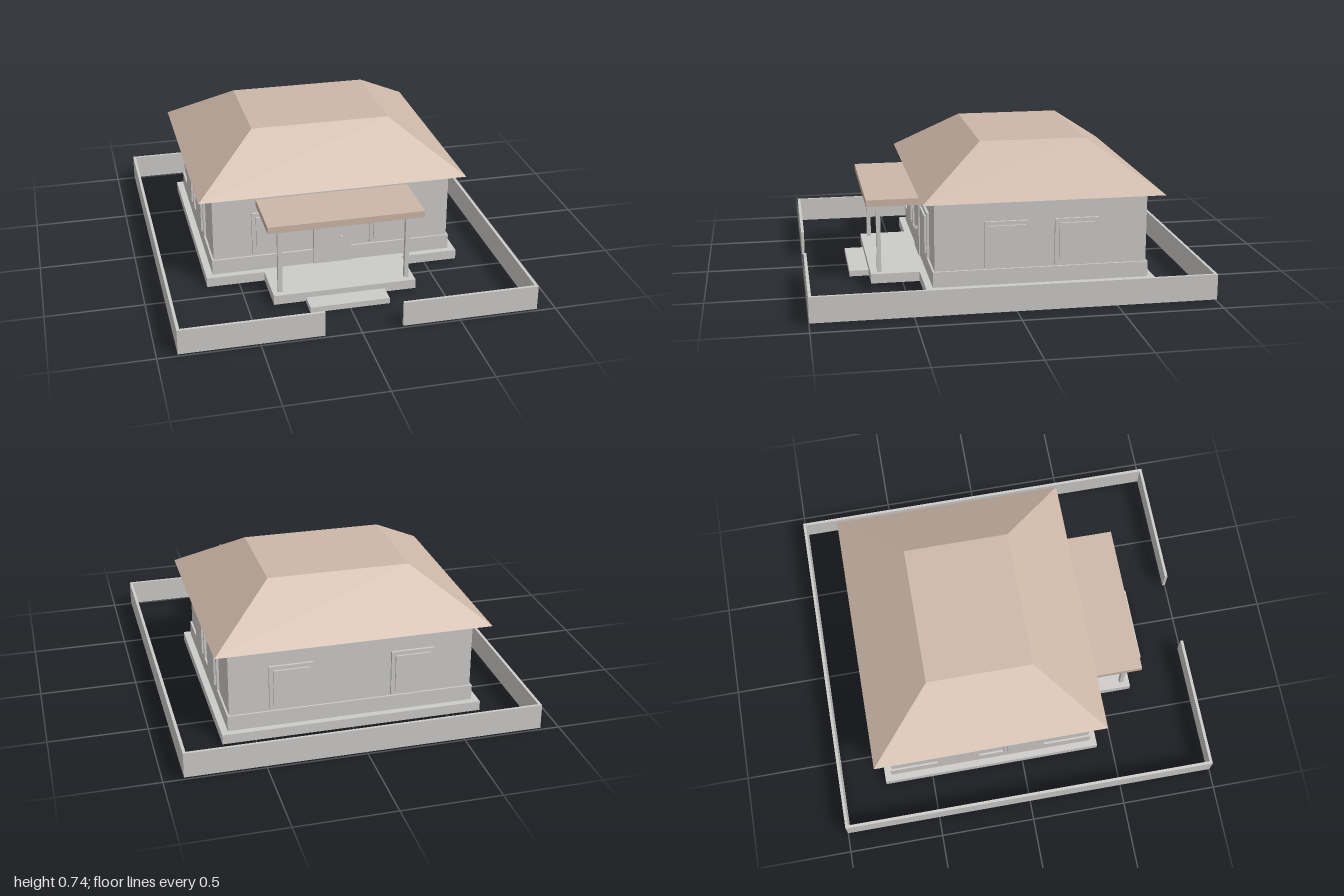
import * as THREE from 'three';

const stone = new THREE.MeshStandardMaterial({ color: 0xcccbc9 });
stone.name = 'pale grey';
const tile = new THREE.MeshStandardMaterial({ color: 0xcdb7a8, side: THREE.DoubleSide });
tile.name = 'clay beige';

// Box given by its min and max corners
function block(parent, name, x0, x1, y0, y1, z0, z1, material = stone) {
  const mesh = new THREE.Mesh(new THREE.BoxGeometry(x1 - x0, y1 - y0, z1 - z0), material);
  mesh.position.set((x0 + x1) / 2, (y0 + y1) / 2, (z0 + z1) / 2);
  mesh.name = name;
  parent.add(mesh);
  return mesh;
}

// Hipped roof: four slopes and a flat top, open below
function hippedRoof() {
  const ring = (x, y, z0, z1) => [[-x, y, z1], [x, y, z1], [x, y, z0], [-x, y, z0]];
  const eave = ring(0.7, 0.5, -0.785, 0.435);
  const top = ring(0.365, 0.735, -0.45, 0.1);
  const points = [];
  const quad = (a, b, c, d) => points.push(...a, ...b, ...c, ...a, ...c, ...d);
  for (let i = 0; i < 4; i++) {
    const j = (i + 1) % 4;
    quad(eave[i], eave[j], top[j], top[i]);
  }
  quad(...top);
  const geometry = new THREE.BufferGeometry();
  geometry.setAttribute('position', new THREE.Float32BufferAttribute(points, 3));
  geometry.computeVertexNormals();
  const mesh = new THREE.Mesh(geometry, tile);
  mesh.name = 'hippedRoof';
  return mesh;
}

// Window facing +z in its own frame: frame with a raised pane
function addWindow(parent, x, z, angle) {
  const win = new THREE.Group();
  win.name = 'window';
  block(win, 'windowFrame', -0.112, 0.112, 0.15, 0.387, -0.01, 0.013);
  block(win, 'windowPane', -0.092, 0.092, 0.17, 0.367, 0, 0.023);
  win.position.set(x, 0, z);
  win.rotation.y = angle;
  parent.add(win);
}

export function createModel() {
  const model = new THREE.Group();
  model.name = 'house';

  // House body on its slab
  block(model, 'foundationSlab', -0.67, 0.67, 0.01, 0.06, -0.755, 0.415);
  block(model, 'plinth', -0.635, 0.635, 0.06, 0.14, -0.72, 0.38);
  block(model, 'walls', -0.625, 0.625, 0.06, 0.54, -0.71, 0.37);
  model.add(hippedRoof());

  // Windows, two on each side
  for (const s of [-1, 1]) {
    addWindow(model, s * 0.312, 0.37, 0);
    addWindow(model, s * 0.312, -0.71, Math.PI);
    for (const z of [0.01, -0.348]) addWindow(model, s * 0.625, z, s * Math.PI / 2);
  }

  // Door with knob
  block(model, 'door', -0.1, 0.1, 0.06, 0.382, 0.36, 0.386);
  block(model, 'doorKnob', 0.037, 0.053, 0.197, 0.21, 0.38, 0.4);

  // Porch
  block(model, 'porchFloor', -0.37, 0.37, 0.01, 0.06, 0.4, 0.665);
  block(model, 'frontStep', -0.205, 0.205, 0, 0.03, 0.66, 0.765);
  block(model, 'porchRoof', -0.4, 0.4, 0.425, 0.46, 0.36, 0.685, tile);
  for (const s of [-1, 1]) {
    block(model, 'porchPost', s * 0.33 - 0.011, s * 0.33 + 0.011, 0.06, 0.425, 0.609, 0.631);
  }

  // Boundary wall with a gap at the front
  const t = 0.015;
  block(model, 'backFence', -0.9, 0.9, 0.01, 0.14, -1, -1 + t);
  block(model, 'rightFence', -0.9, -0.9 + t, 0.01, 0.14, -1 + t, 1 - t);
  block(model, 'leftFence', 0.9 - t, 0.9, 0.01, 0.14, -1 + t, 1 - t);
  block(model, 'frontFenceRight', -0.9, -0.185, 0.01, 0.14, 1 - t, 1);
  block(model, 'frontFenceLeft', 0.206, 0.9, 0.01, 0.14, 1 - t, 1);

  return model;
}
